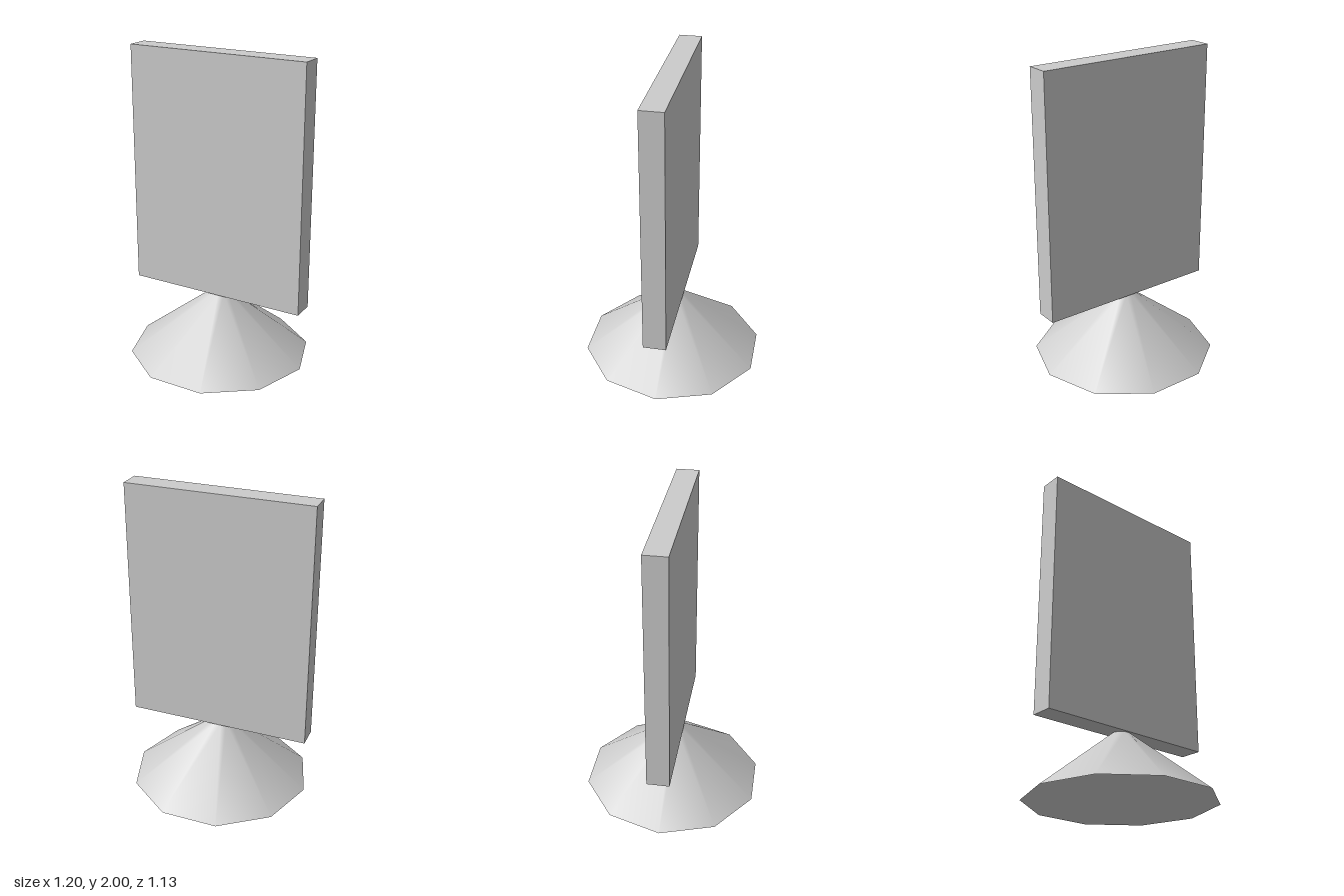
import * as THREE from 'three';

export function createModel() {
  const model = new THREE.Group();
  const grey = new THREE.MeshStandardMaterial({ color: 0xcccccc, side: THREE.DoubleSide });
  grey.name = 'light grey';

  const baseHeight = 0.42;
  const panelHeight = 2 - baseHeight;

  // Hollow ten-sided foot, smooth shaded and open underneath
  const foot = new THREE.Mesh(
    new THREE.CylinderGeometry(0.06, 0.593, baseHeight, 10, 1, true, Math.PI / 10), grey);
  foot.name = 'foot';
  foot.position.y = baseHeight / 2;

  // Upright slab balanced on the foot
  const panel = new THREE.Mesh(new THREE.BoxGeometry(1.2, panelHeight, 0.145), grey);
  panel.name = 'panel';
  panel.position.y = baseHeight + panelHeight / 2;

  model.add(foot, panel);
  return model;
}
